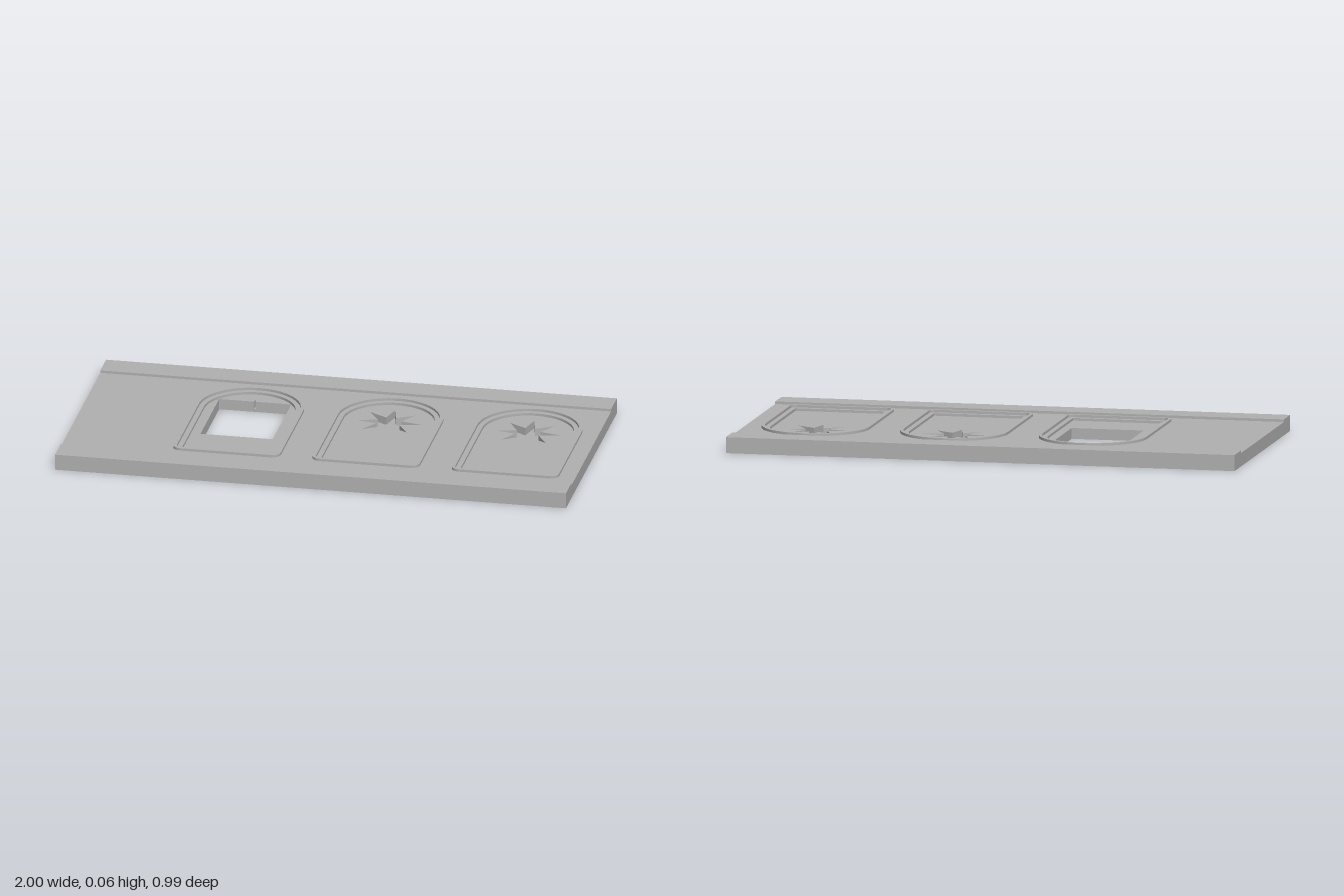
import * as THREE from 'three';

// Plan shapes are drawn in (x, -z) and extruded upward.
const HALF_X = 1, HALF_Z = 0.495;
const ARCH_X = [-0.365, 0.18, 0.725];
const SPRING = 0.13, RADIUS = 0.177, SILL = -0.302;
const WINDOW = { left: -0.505, right: -0.222, near: -0.127, far: 0.235 };

function polygon(points) {
  return new THREE.Shape(points.map(([x, y]) => new THREE.Vector2(x, y)));
}

function rect(x0, x1, y0, y1) {
  return polygon([[x0, y0], [x1, y0], [x1, y1], [x0, y1]]);
}

// Round-headed panel outline, grown outward by d with rounded lower corners
function arch(cx, d) {
  const r = RADIUS + d;
  const s = new THREE.Shape();
  s.moveTo(cx - RADIUS, SILL - d);
  s.lineTo(cx + RADIUS, SILL - d);
  if (d > 0) s.absarc(cx + RADIUS, SILL, d, -Math.PI / 2, 0, false);
  s.lineTo(cx + r, SPRING);
  s.absarc(cx, SPRING, r, 0, Math.PI, false);
  s.lineTo(cx - r, SILL);
  if (d > 0) s.absarc(cx - RADIUS, SILL, d, Math.PI, Math.PI * 1.5, false);
  return s;
}

function star(cx) {
  const points = [];
  for (let i = 0; i < 16; i++) {
    const r = i % 2 ? 0.05 : 0.125;
    const a = Math.PI / 2 + (i * Math.PI) / 8;
    points.push([cx + r * Math.cos(a), SPRING + r * Math.sin(a)]);
  }
  return polygon(points);
}

// Window opening with the star tip that reaches past its far edge
function notchedWindow() {
  const { left, right, near, far } = WINDOW, cx = ARCH_X[0];
  return polygon([[left, near], [right, near], [right, far],
    [cx + 0.005, far], [cx, 0.255], [cx - 0.005, far], [left, far]]);
}

export function createModel() {
  const group = new THREE.Group();
  const stone = new THREE.MeshStandardMaterial({ color: 0xb0b0b0 });
  stone.name = 'grey stone';

  function layer(name, shape, holes, bottom, top) {
    shape.holes.push(...holes);
    const geometry = new THREE.ExtrudeGeometry(shape,
      { depth: top - bottom, bevelEnabled: false, curveSegments: 32 });
    geometry.rotateX(-Math.PI / 2);
    geometry.translate(0, bottom, 0);
    const mesh = new THREE.Mesh(geometry, stone);
    mesh.name = name;
    group.add(mesh);
  }

  const slab = () => rect(-HALF_X, HALF_X, -HALF_Z, HALF_Z);
  const { left, right, near, far } = WINDOW;

  // Wall: back sheet, star recesses, then the sunken panels
  layer('wallBack', slab(), [rect(left, right, near, far)], 0, 0.012);
  layer('wallCore', slab(), [notchedWindow(), star(ARCH_X[1]), star(ARCH_X[2])], 0.012, 0.042);
  layer('wallFace', slab(), ARCH_X.map((x) => arch(x, 0)), 0.042, 0.052);

  // Raised rims around the arched panels
  ARCH_X.forEach((x) => layer('archRim', arch(x, 0.033), [arch(x, 0.02)], 0.052, 0.062));

  // Raised bands along both long edges
  layer('backBand', rect(-HALF_X, HALF_X, 0.383, HALF_Z), [], 0.052, 0.062);
  layer('frontBand', rect(-HALF_X, HALF_X, -HALF_Z, -0.383), [], 0.052, 0.062);

  return group;
}
